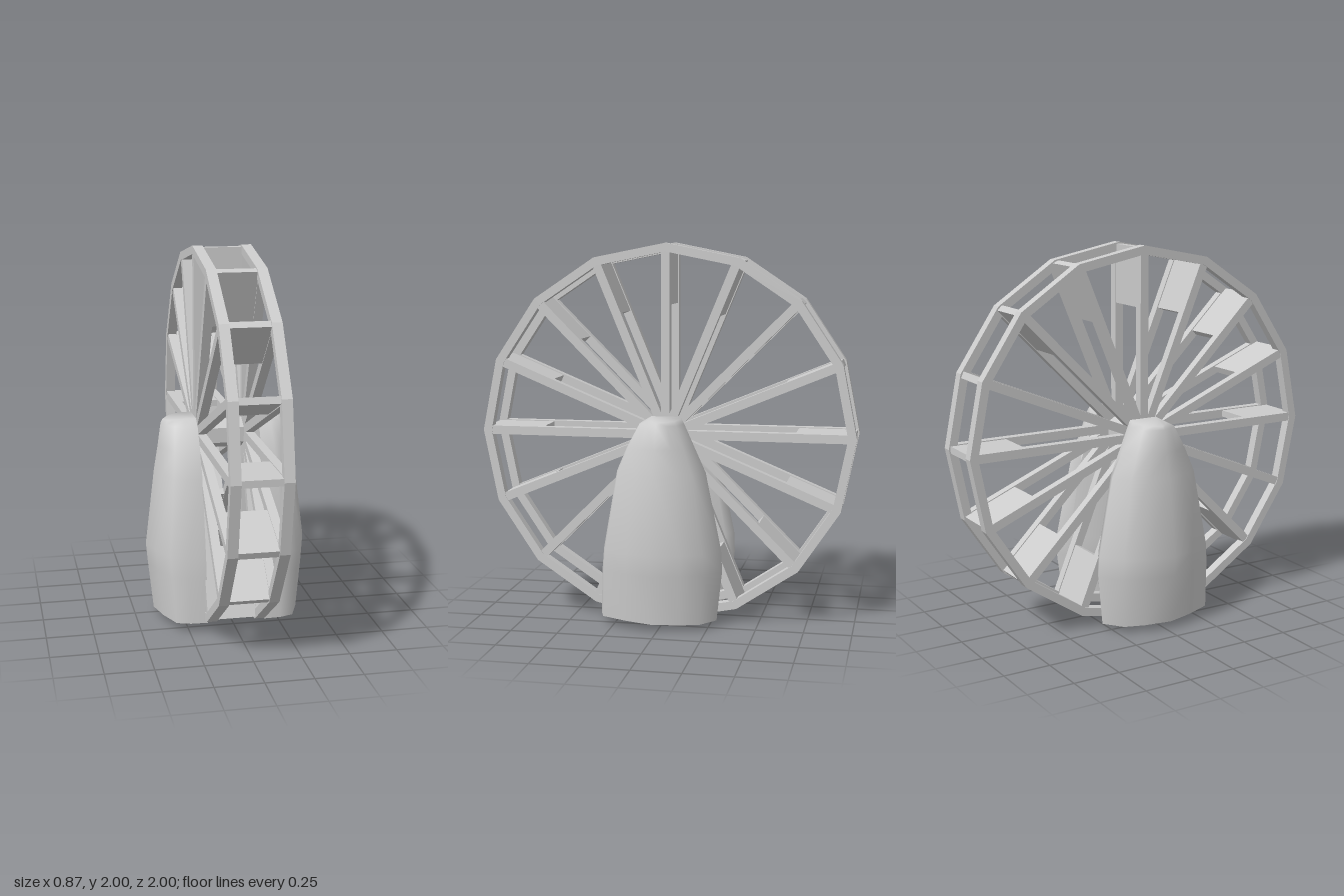
import * as THREE from 'three';
import { toCreasedNormals } from 'three/addons/utils/BufferGeometryUtils.js';

const SIDES = 16;
const WHEEL_X = -0.015;
const material = new THREE.MeshStandardMaterial({ color: 0xcccccc, flatShading: true });
const smoothMaterial = new THREE.MeshStandardMaterial({ color: 0xcccccc });

function add(parent, name, geometry, mat = material) {
  const mesh = new THREE.Mesh(geometry, mat);
  mesh.name = name;
  parent.add(mesh);
  return mesh;
}

// Regular polygon with a corner at the top, counterclockwise
function polygon(radius) {
  return Array.from({ length: SIDES }, (_, i) => {
    const a = (i / SIDES) * Math.PI * 2;
    return new THREE.Vector2(-Math.sin(a) * radius, Math.cos(a) * radius);
  });
}

function rimGeometry() {
  const shape = new THREE.Shape(polygon(1));
  shape.holes.push(new THREE.Path(polygon(0.955)));
  const g = new THREE.ExtrudeGeometry(shape, { depth: 0.053, bevelEnabled: false });
  return g.translate(0, 0, -0.0265).rotateY(Math.PI / 2);
}

// Rounded pier lofted from cross-sections, flat towards the wheel; side is +1 (left) or -1 (right)
function pierGeometry(side) {
  // [across from inner face, along z]
  const outline = [[0, 1], [0.36, 0.99], [0.66, 0.91], [0.87, 0.5], [1, 0.08],
    [0.87, -0.4], [0.7, -0.75], [0.28, -1], [0, -0.88]];
  // [height, outer x, front z, back z]
  const levels = [[0.04, 0.397, 0.33, 0.29], [0.3, 0.425, 0.32, 0.32], [0.41, 0.435, 0.31, 0.315],
    [0.82, 0.385, 0.24, 0.23], [0.95, 0.363, 0.185, 0.17], [1.07, 0.345, 0.12, 0.115], [1.1, 0.335, 0.07, 0.1]];
  const n = outline.length;
  const last = levels.length - 1;
  const pos = [];
  const index = [];
  const face = (a, b, c) => (side > 0 ? index.push(a, b, c) : index.push(a, c, b));

  levels.forEach(([y, out, front, back], k) => {
    const inner = 0.152 + 0.012 * y;
    for (const [u, v] of outline) {
      const z = v * (v > 0 ? front : back);
      // The base tilts along z, the top slopes outward
      const tilt = k === 0 ? 0.03 * z : k === last ? -0.012 * u : 0;
      pos.push(side * (inner + u * (out - inner)), y + tilt, z);
    }
  });
  for (let k = 0; k < last; k++) {
    for (let i = 0; i < n; i++) {
      const a = k * n + i, b = k * n + (i + 1) % n;
      face(a, b, a + n);
      face(b, b + n, a + n);
    }
  }
  // Bottom and top caps
  const top = last * n;
  for (let i = 1; i < n - 1; i++) {
    face(0, i + 1, i);
    face(top, top + i, top + i + 1);
  }
  const g = new THREE.BufferGeometry();
  g.setAttribute('position', new THREE.Float32BufferAttribute(pos, 3));
  g.setIndex(index);
  return toCreasedNormals(g, 1.2);
}

export function createModel() {
  const model = new THREE.Group();
  model.name = 'waterWheel';

  const wheel = new THREE.Group();
  wheel.name = 'wheel';
  wheel.position.set(WHEEL_X, 1, 0);
  model.add(wheel);

  // Two rims, each with spokes running straight across the centre
  const rim = rimGeometry();
  const spoke = new THREE.BoxGeometry(0.046, 1.94, 0.046);
  for (const side of [-1, 1]) {
    const x = side * 0.1285;
    add(wheel, side > 0 ? 'leftRim' : 'rightRim', rim).position.x = x;
    for (let i = 0; i < SIDES / 2; i++) {
      const s = add(wheel, 'spoke', spoke);
      s.position.x = x;
      s.rotation.x = (i / SIDES) * Math.PI * 2;
    }
  }

  // Paddles between the rims
  const paddle = new THREE.BoxGeometry(0.215, 0.31, 0.036).translate(0, 0.835, 0);
  for (let i = 0; i < SIDES; i++) {
    add(wheel, 'paddle', paddle).rotation.x = (i / SIDES) * Math.PI * 2;
  }

  // Six-sided axle between the two sets of spokes
  const axle = new THREE.CylinderGeometry(0.08, 0.08, 0.28, 6).rotateY(Math.PI / 2).rotateZ(Math.PI / 2);
  add(wheel, 'axle', axle);

  // Piers on both sides
  for (const side of [-1, 1]) {
    const name = side > 0 ? 'leftPier' : 'rightPier';
    add(model, name, pierGeometry(side), smoothMaterial).position.x = -0.003;
  }

  return model;
}
